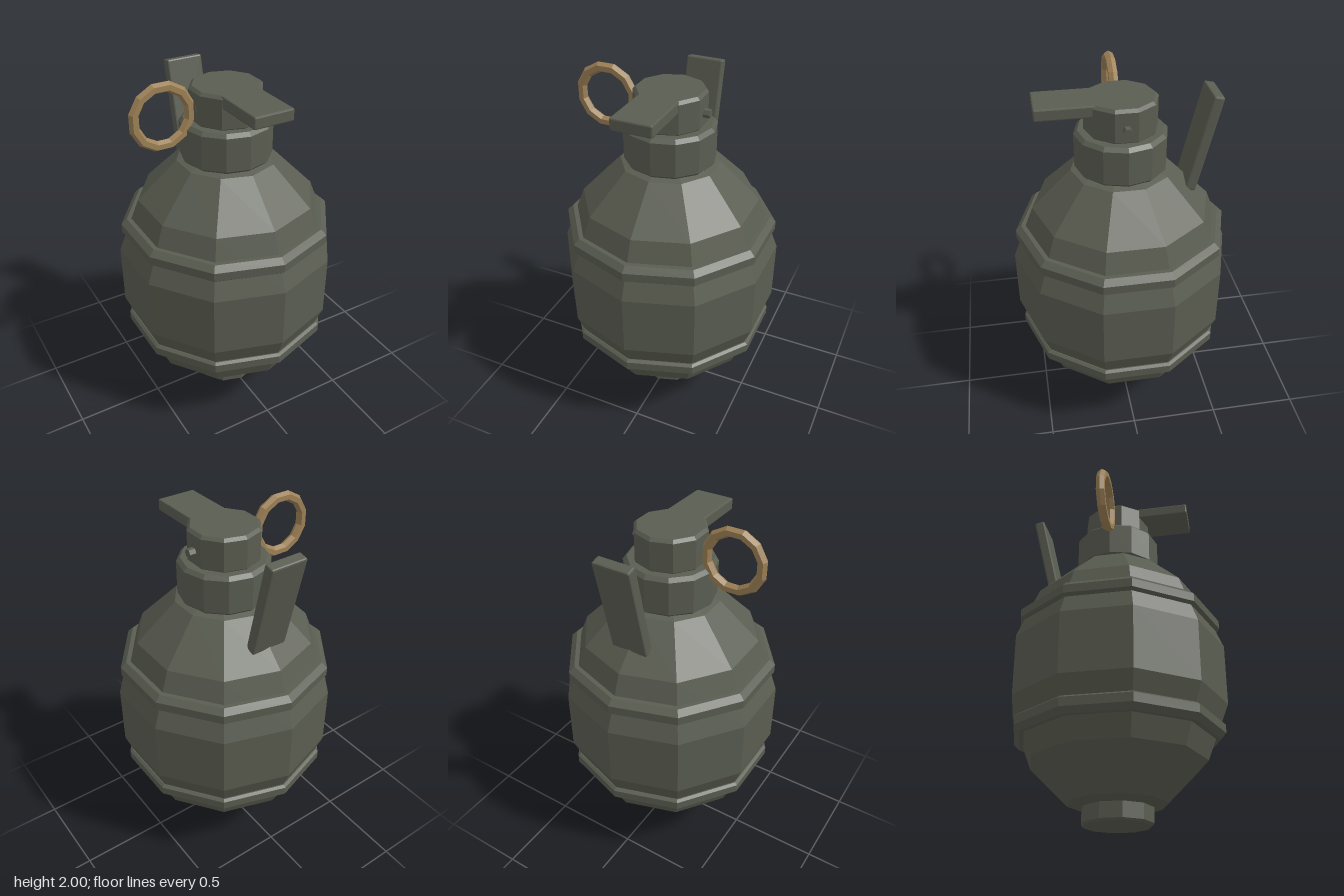
import * as THREE from 'three';
import { RoundedBoxGeometry } from 'three/addons/geometries/RoundedBoxGeometry.js';

export function createModel() {
  const model = new THREE.Group();
  const steel = new THREE.MeshStandardMaterial({ color: 0x5a5d51, flatShading: true });
  steel.name = 'olive steel';
  const brass = new THREE.MeshStandardMaterial({ color: 0x9e8156, flatShading: true });
  brass.name = 'dull brass';

  const add = (name, geometry, material = steel) => {
    const mesh = new THREE.Mesh(geometry, material);
    mesh.name = name;
    model.add(mesh);
    return mesh;
  };
  // faceted solid of revolution, profile listed bottom to top as [radius, y]
  const turned = (name, sides, profile) =>
    add(name, new THREE.LatheGeometry(profile.map(([r, y]) => new THREE.Vector2(r, y)), sides));
  // drum with chamfered rims
  const drum = (name, sides, r, y0, y1, c) => turned(name, sides, [
    [0, y0], [r - c, y0], [r, y0 + c], [r, y1 - c], [r - c, y1], [0, y1],
  ]);

  // ten-sided body
  turned('body', 10, [
    [0, 0.1], [0.22, 0.1], [0.273, 0.12], [0.493, 0.335], [0.615, 0.645],
    [0.615, 0.99], [0.493, 1.3], [0.273, 1.52], [0.22, 1.535], [0, 1.535],
  ]);

  // raised bands, mirrored about the middle of the body
  const band = [[0.5, 0.45], [0.563, 0.45], [0.595, 0.48], [0.595, 0.528], [0.58, 0.54], [0.5, 0.54]];
  turned('lowerBand', 10, band);
  turned('upperBand', 10, band.map(([r, y]) => [r, 1.637 - y]).reverse());

  // base plug, collar and fuse cap
  drum('basePlug', 10, 0.196, 0.005, 0.12, 0.012);
  drum('collar', 12, 0.25, 1.525, 1.75, 0.02);
  drum('fuseCap', 10, 0.196, 1.74, 1.93, 0.016);

  // flat arm reaching forward from the cap
  add('capArm', new RoundedBoxGeometry(0.224, 0.065, 0.4, 1, 0.008)).position.set(0, 1.8975, 0.25);

  // leaning lever plate behind the neck
  const lever = add('leverPlate', new RoundedBoxGeometry(0.212, 0.55, 0.06, 1, 0.009));
  lever.position.set(0, 1.655, -0.427);
  lever.rotation.x = -0.226;

  // hexagonal pin through the cap
  const pin = add('pin', new THREE.CylinderGeometry(0.024, 0.024, 0.41, 6));
  pin.rotation.z = Math.PI / 2;
  pin.position.set(0.018, 1.825, 0);

  // pull ring
  const ring = add('pullRing', new THREE.TorusGeometry(0.156, 0.028, 6, 12), brass);
  ring.rotation.z = Math.PI / 12;
  ring.position.set(-0.367, 1.823, 0);

  return model;
}
